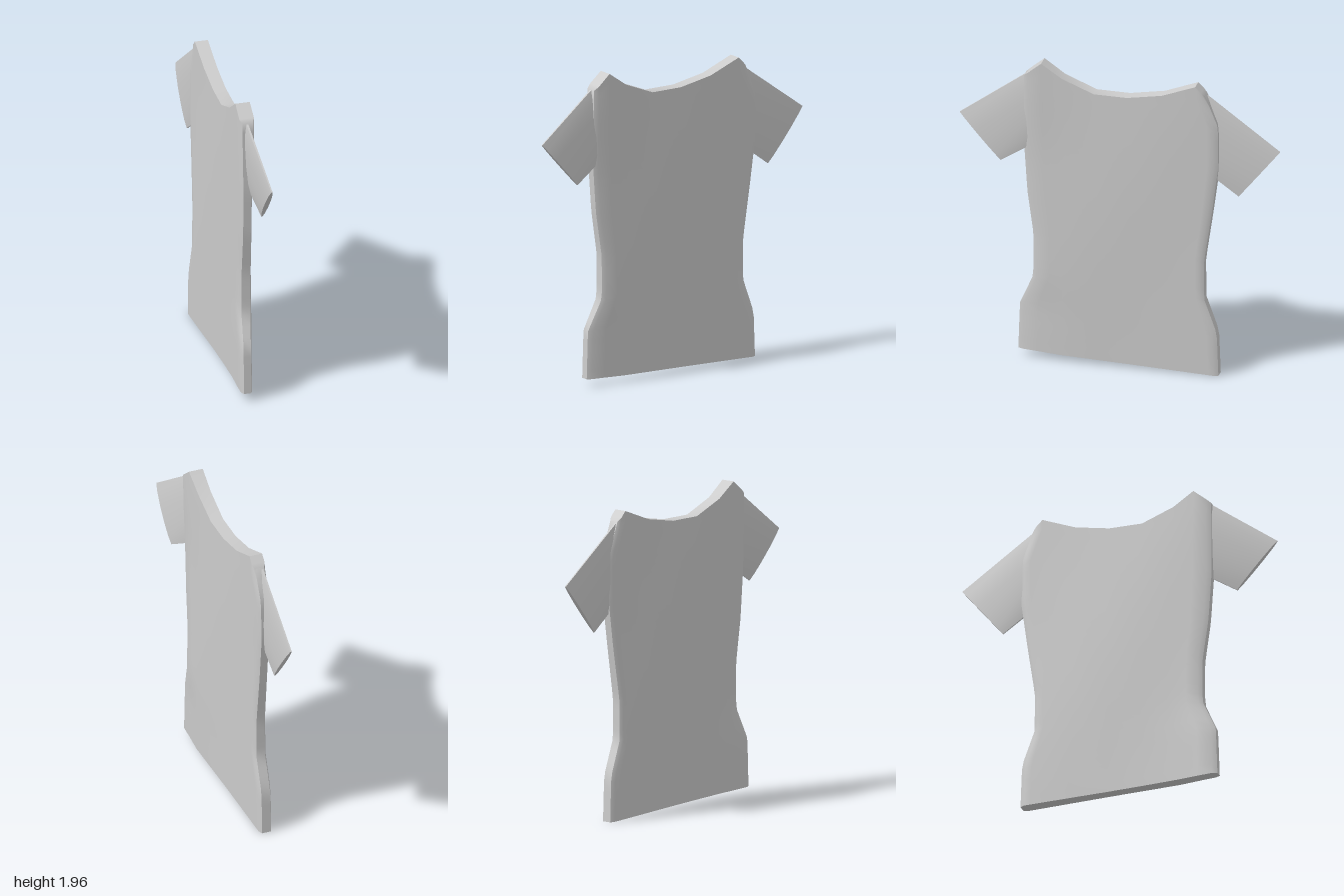
import * as THREE from 'three';
import { toCreasedNormals } from 'three/addons/utils/BufferGeometryUtils.js';

const { lerp, clamp, smoothstep } = THREE.MathUtils;

// Piecewise-linear lookup in a list of [key, value] pairs
function sample(list, k) {
  k = clamp(k, list[0][0], list[list.length - 1][0]);
  for (let i = 1; i < list.length; i++) {
    const [k0, v0] = list[i - 1], [k1, v1] = list[i];
    if (k <= k1) return lerp(v0, v1, (k - k0) / (k1 - k0));
  }
}

// Skin closed rings; each ring runs along the +x side, then back along the -x side
function loft(rings, crease) {
  const n = rings[0].length, pos = [];
  const quad = (a, b, c, d) => pos.push(...a, ...b, ...c, ...a, ...c, ...d);
  for (let r = 0; r < rings.length - 1; r++) {
    for (let i = 0; i < n; i++) {
      const j = (i + 1) % n;
      quad(rings[r][i], rings[r + 1][i], rings[r + 1][j], rings[r][j]);
    }
  }
  const lo = rings[0], hi = rings[rings.length - 1];
  for (let i = 0; i < n / 2 - 1; i++) {
    quad(lo[i], lo[i + 1], lo[n - 2 - i], lo[n - 1 - i]);
    quad(hi[i], hi[n - 1 - i], hi[n - 2 - i], hi[i + 1]);
  }
  const geo = new THREE.BufferGeometry();
  geo.setAttribute('position', new THREE.Float32BufferAttribute(pos, 3));
  return toCreasedNormals(geo, crease);
}

// Side seams as [y, z]
const seamFront = [[0.05, 0.64], [0.35, 0.63], [0.55, 0.54], [0.82, 0.54], [1.1, 0.58], [1.4, 0.6], [1.87, 0.6]];
const seamBack = [[0, -0.62], [0.28, -0.61], [0.5, -0.53], [0.75, -0.53], [1.08, -0.58], [1.38, -0.62], [1.65, -0.62], [1.85, -0.54]];
// Shoulders and neckline as [z, y]
const neckline = [[-0.54, 1.85], [-0.48, 1.91], [-0.27, 1.83], [-0.05, 1.79], [0.16, 1.79], [0.36, 1.87], [0.49, 1.96], [0.6, 1.87]];

// Soft diagonal fold, 1 on the line between two [z, y] points and 0 away from it
function fold(z, y, [z0, y0], [z1, y1]) {
  const d = Math.abs((z - z0) * (y1 - y0) - (y - y0) * (z1 - z0)) / Math.hypot(z1 - z0, y1 - y0);
  return 1 - smoothstep(d, 0, 0.6);
}

function bodyGeometry() {
  // Columns run through the neckline points, with an extra one beside each seam
  const columns = neckline.map(([z, y]) => {
    const b = sample(seamBack, y), f = sample(seamFront, y);
    return { u: (z - b) / (f - b), top: y };
  });
  const mid = (a, b, t) => ({ u: lerp(a.u, b.u, t), top: lerp(a.top, b.top, t) });
  const k = columns.length;
  columns.splice(k - 1, 0, mid(columns[k - 1], columns[k - 2], 0.25));
  columns.splice(1, 0, mid(columns[0], columns[1], 0.4));

  const rows = 30, rings = [];
  for (let r = 0; r <= rows; r++) {
    const plus = [], minus = [];
    for (const { u, top } of columns) {
      const y = lerp(0.05 * u, top, r / rows);
      const z = lerp(sample(seamBack, y), sample(seamFront, y), u);
      const edge = u < 0.001 || u > 0.999 ? 0.012 : 0;
      const flare = 0.012 * smoothstep(z, 0.3, 0.62);
      const shoulder = flare * smoothstep(y, 1.3, 1.8), hem = flare * (1 - smoothstep(y, 0.3, 0.6));
      plus.push([0.03 - edge + shoulder - hem * 2 + 0.013 * fold(z, y, [0.64, 0.05], [-0.48, 1.91]), y, z]);
      minus.push([-0.04 + edge - hem - 0.013 * fold(z, y, [-0.62, 0], [0.49, 1.96]), y, z]);
    }
    rings.push([...plus, ...minus.reverse()]);
  }
  return loft(rings, 0.9);
}

// Flattened sleeve; each station gives two opposite [x, y, z] edges and a half thickness
function sleeveGeometry(stations) {
  const n = 12;
  const rings = stations.map(([a, b, thick]) => Array.from({ length: n }, (_, i) => {
    const t = (i + 0.5) / n * Math.PI * 2;
    const w = 0.5 - 0.5 * Math.cos(t) / Math.cos(Math.PI / n);
    const p = a.map((v, c) => lerp(v, b[c], w));
    p[0] += Math.sin(t) * thick;
    return p;
  }));
  return loft(rings, 1);
}

export function createModel() {
  const group = new THREE.Group();
  group.name = 'shirt';
  const material = new THREE.MeshStandardMaterial({ color: 0xcccccc, side: THREE.DoubleSide });
  const add = (name, geometry) => {
    const mesh = new THREE.Mesh(geometry, material);
    mesh.name = name;
    group.add(mesh);
  };

  add('body', bodyGeometry());
  // Edges run top to bottom on the +z side and bottom to top on the -z side
  add('frontSleeve', sleeveGeometry([
    [[-0.01, 1.88, 0.58], [0.015, 1.4, 0.57], 0.025],
    [[0.037, 1.59, 1.0], [0.045, 1.3, 0.74], 0.016],
  ]));
  add('backSleeve', sleeveGeometry([
    [[-0.01, 1.3, -0.59], [-0.015, 1.85, -0.53], 0.022],
    [[-0.015, 1.19, -0.74], [-0.015, 1.51, -1.0], 0.015],
  ]));
  return group;
}
